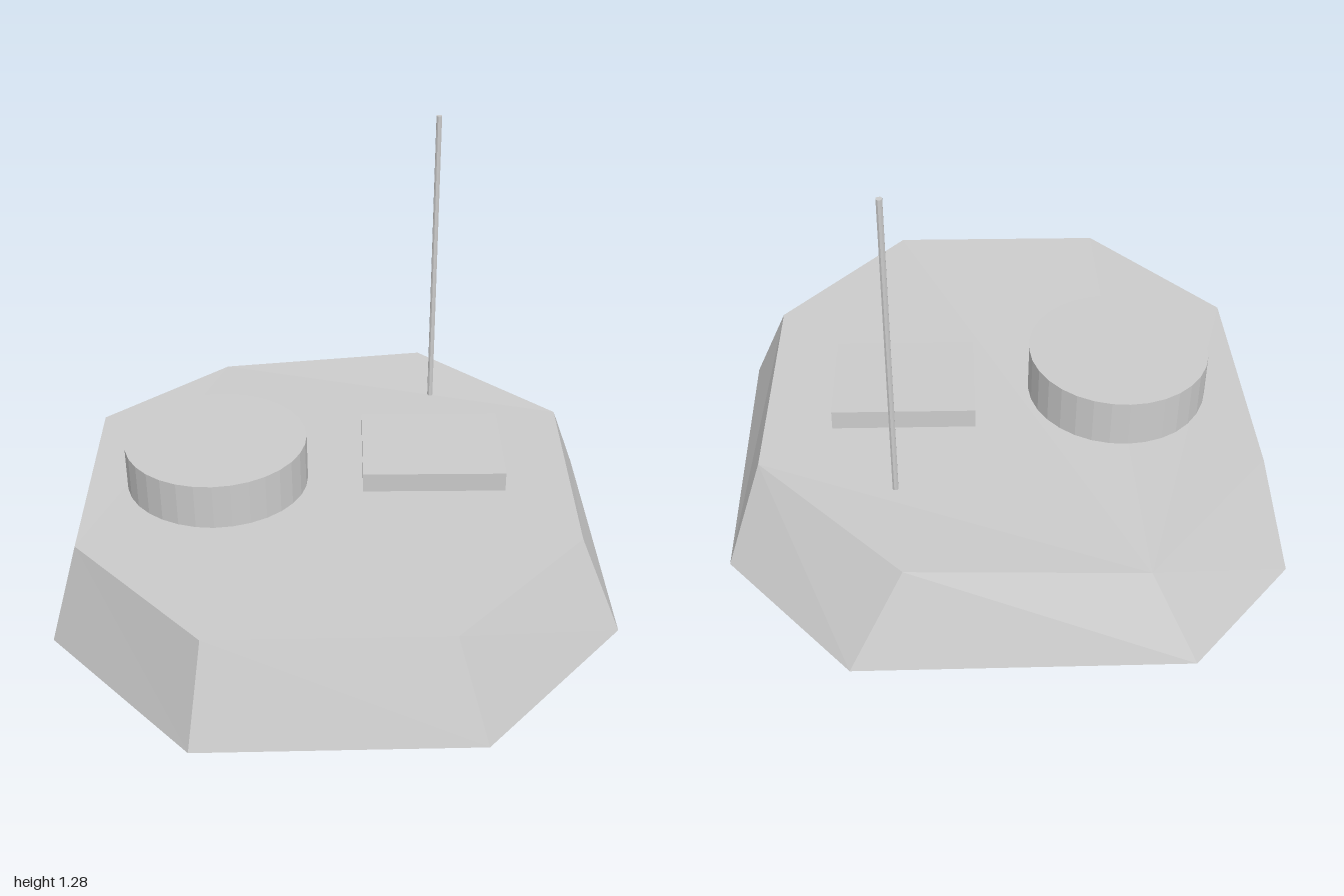
import * as THREE from 'three';

const material = new THREE.MeshStandardMaterial({ color: 0xcccccc, flatShading: true });

function addPart(group, name, geometry, x = 0, y = 0, z = 0) {
  const mesh = new THREE.Mesh(geometry, material);
  mesh.name = name;
  mesh.position.set(x, y, z);
  group.add(mesh);
  return mesh;
}

// Closed solid between two rings of [x, y, z] corners in matching order
function ringSolid(bottom, top) {
  const points = [];
  const n = bottom.length;
  for (let i = 0; i < n; i++) {
    const j = (i + 1) % n;
    points.push(bottom[i], top[i], top[j], bottom[i], top[j], bottom[j]);
    if (i > 0 && i < n - 1) {
      points.push(top[0], top[j], top[i]);
      points.push(bottom[0], bottom[i], bottom[j]);
    }
  }
  const geometry = new THREE.BufferGeometry();
  geometry.setAttribute('position', new THREE.Float32BufferAttribute(points.flat(), 3));
  geometry.computeVertexNormals();
  return geometry;
}

export function createModel() {
  const model = new THREE.Group();
  model.name = 'hullWithMast';

  // Eight-sided hull: slightly tilted floor, deck dipping at the back
  const floor = [
    [-0.11, -1.0], [0.76, -0.62], [0.93, -0.1], [0.56, 0.74],
    [-0.01, 1.0], [-0.73, 0.68], [-0.93, 0.07], [-0.54, -0.81],
  ].map(([x, z]) => [x, 0.0223 + 0.024 * x, z]);
  const deck = [
    [-0.04, 0.265, -0.85], [0.58, 0.312, -0.59], [0.79, 0.315, -0.02], [0.48, 0.312, 0.64],
    [-0.05, 0.31, 0.88], [-0.66, 0.3, 0.61], [-0.84, 0.295, 0.06], [-0.55, 0.29, -0.63],
  ];
  // Rings run clockwise on the plan, so reverse them for outward faces
  addPart(model, 'hull', ringSolid(floor, deck));

  // Round drum on the deck
  const drum = addPart(model, 'drum', new THREE.CylinderGeometry(0.275, 0.275, 0.15, 32), -0.34, 0.355, -0.13);
  drum.rotation.z = 0.02;

  // Flat hatch, turned on the deck and tilted a little
  const hatch = addPart(model, 'hatch', new THREE.BoxGeometry(0.425, 0.06, 0.345), 0.28, 0.35, 0.09);
  hatch.rotation.set(0.02, -0.425, 0.02, 'XZY');

  // Thin mast
  addPart(model, 'mast', new THREE.CylinderGeometry(0.009, 0.009, 0.965, 8), 0.473, 0.8, -0.29);

  return model;
}
